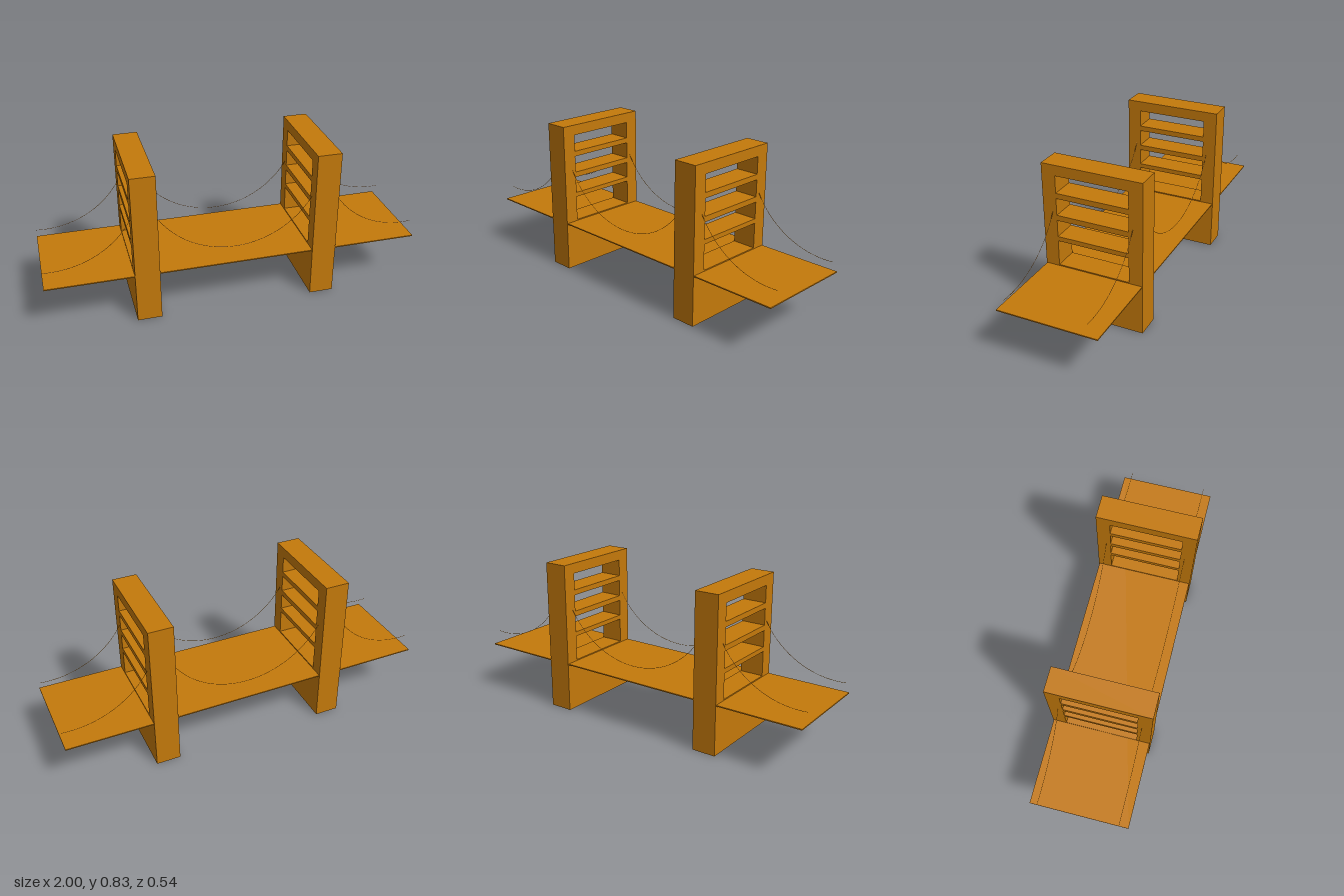
import * as THREE from 'three';

const material = new THREE.MeshStandardMaterial({ color: 0xc4790b, flatShading: true });

const TOWER_X = 0.478, TOWER_W = 0.13, TOWER_H = 0.83, HALF_Z = 0.268;

// Rectangle given by its limits, as a Shape or a Path
function rect(Type, x0, x1, y0, y1) {
  return new Type([[x0, y0], [x1, y0], [x1, y1], [x0, y1]].map(([x, y]) => new THREE.Vector2(x, y)));
}

// Tower: solid base, two legs and cross beams around four openings
function towerGeometry() {
  const shape = rect(THREE.Shape, -HALF_Z, HALF_Z, 0, TOWER_H);
  const openings = [[0.281, 0.418], [0.443, 0.533], [0.562, 0.653], [0.682, 0.774]];
  for (const [y0, y1] of openings) shape.holes.push(rect(THREE.Path, -0.194, 0.194, y0, y1));
  const geometry = new THREE.ExtrudeGeometry(shape, { depth: TOWER_W, bevelEnabled: false });
  return geometry.translate(0, 0, -TOWER_W / 2).rotateY(Math.PI / 2);
}

// Hanging cable: circular sag about a span centre, between two x limits
function cableGeometry(centre, x0, x1) {
  const r = TOWER_X, low = 0.34;
  const a0 = Math.asin((x0 - centre) / r), a1 = Math.asin((x1 - centre) / r);
  const points = [];
  for (let i = 0; i <= 24; i++) {
    const a = a0 + (a1 - a0) * i / 24;
    points.push(new THREE.Vector3(centre + r * Math.sin(a), low + r * (1 - Math.cos(a)), 0));
  }
  return new THREE.TubeGeometry(new THREE.CatmullRomCurve3(points), 48, 0.001, 5);
}

export function createModel() {
  const group = new THREE.Group();
  const add = (name, geometry, x = 0, y = 0, z = 0) => {
    const mesh = new THREE.Mesh(geometry, material);
    mesh.name = name;
    mesh.position.set(x, y, z);
    group.add(mesh);
  };

  // Road deck
  add('deck', new THREE.BoxGeometry(2, 0.006, 0.53), 0, 0.272, 0);

  // Twin towers
  const tower = towerGeometry();
  add('leftTower', tower, TOWER_X);
  add('rightTower', tower, -TOWER_X);

  // Cables along both edges: main span and the two cut-off side spans
  const reach = TOWER_X - 0.03;
  const spans = [
    ['mainCable', cableGeometry(0, -reach, reach)],
    ['leftSideCable', cableGeometry(2 * TOWER_X, TOWER_X + 0.03, 1)],
    ['rightSideCable', cableGeometry(-2 * TOWER_X, -1, -TOWER_X - 0.03)],
  ];
  for (const z of [0.216, -0.216])
    for (const [name, geometry] of spans) add(name, geometry, 0, 0, z);

  return group;
}
